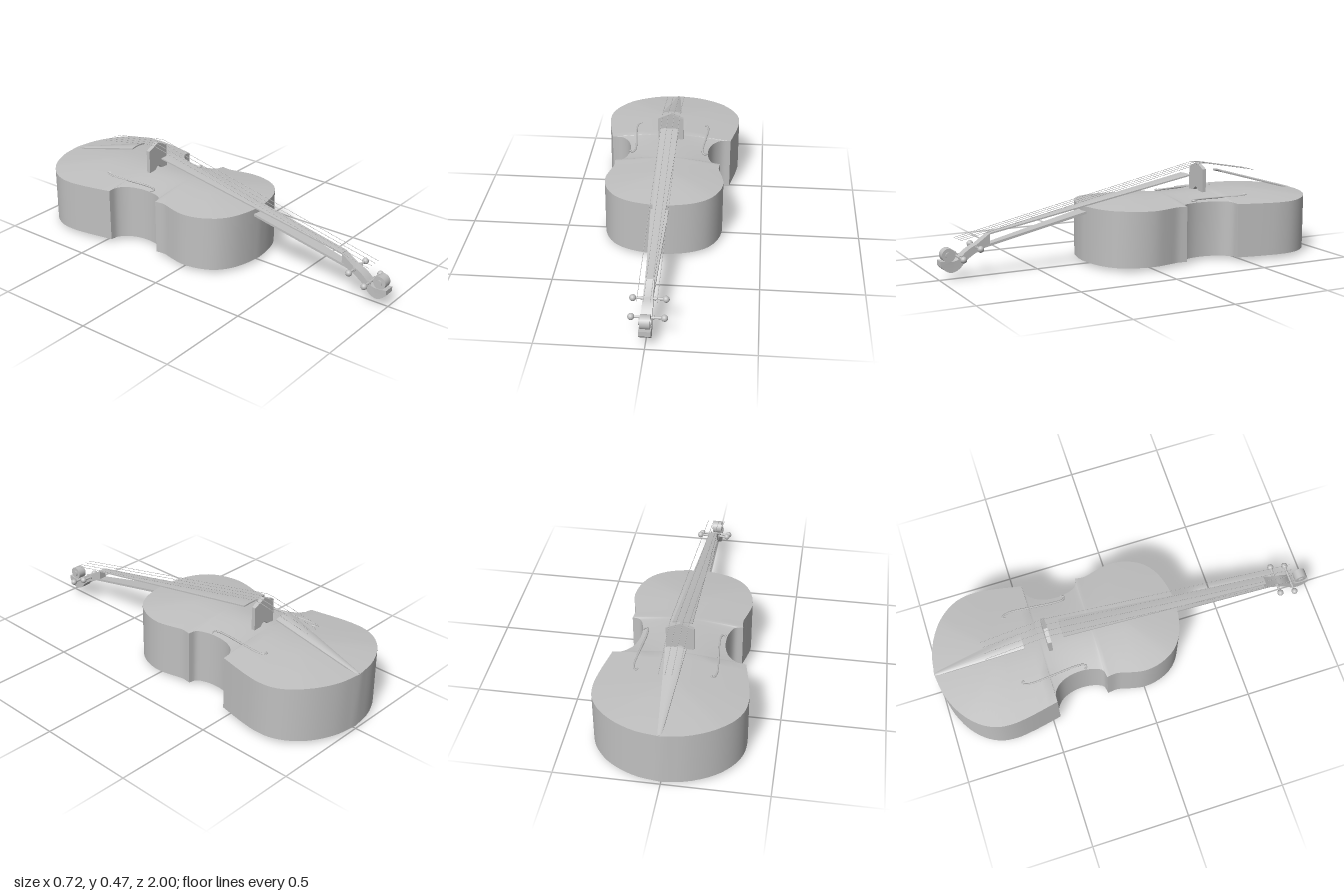
import * as THREE from 'three';
import { toCreasedNormals } from 'three/addons/utils/BufferGeometryUtils.js';

const grey = new THREE.MeshStandardMaterial({ color: 0xc0c0c0 });
grey.name = 'grey';
const { lerp, clamp } = THREE.MathUtils;

function part(parent, name, geometry, x = 0, y = 0, z = 0) {
  const mesh = new THREE.Mesh(geometry, grey);
  mesh.name = name;
  mesh.position.set(x, y, z);
  parent.add(mesh);
  return mesh;
}

// Outline of the body as [x, z]: three bouts meeting at sharp corners, then mirrored
function bodyOutline() {
  const bouts = [
    [[0, -1], [0.12, -0.98], [0.235, -0.925], [0.31, -0.855], [0.35, -0.78], [0.36, -0.7], [0.35, -0.61], [0.32, -0.46]],
    [[0.32, -0.46], [0.275, -0.455], [0.235, -0.42], [0.213, -0.37], [0.205, -0.31], [0.212, -0.25], [0.235, -0.2], [0.275, -0.19]],
    [[0.275, -0.19], [0.27, -0.14], [0.285, -0.08], [0.3, 0], [0.285, 0.09], [0.24, 0.17], [0.17, 0.22], [0.08, 0.247], [0, 0.256]],
  ];
  const half = [];
  for (const bout of bouts) {
    const curve = new THREE.CatmullRomCurve3(bout.map(([x, z]) => new THREE.Vector3(x, 0, z)));
    half.push(...curve.getPoints(24).slice(0, -1));
  }
  half.push(new THREE.Vector3(0, 0, 0.256));
  const mirrored = half.slice(1, -1).reverse().map((p) => new THREE.Vector3(-p.x, 0, p.z));
  return [...half, ...mirrored];
}

// Surface through rings; each ring is [spread from the spine, height function]
function ringSurface(outline, rings) {
  const n = outline.length;
  const positions = [];
  const index = [];
  rings.forEach(([spread, height], j) => {
    outline.forEach((p, i) => {
      const spine = clamp(p.z, -0.65, -0.05);
      positions.push(p.x * spread, height(p), lerp(spine, p.z, spread));
      if (j === rings.length - 1) return;
      const a = j * n + i, b = j * n + (i + 1) % n;
      index.push(a, b, b + n, a, b + n, a + n);
    });
  });
  const geometry = new THREE.BufferGeometry();
  geometry.setAttribute('position', new THREE.Float32BufferAttribute(positions, 3));
  geometry.setIndex(index);
  return toCreasedNormals(geometry, 0.6);
}

// Tapered, slightly crowned strip; each end is [z, y of its upper face, half width]
function strip([z0, y0, w0], [z1, y1, w1], thickness, crown = 0) {
  const geometry = new THREE.BoxGeometry(2, thickness, 1, 6, 1, 1);
  const pos = geometry.attributes.position;
  for (let i = 0; i < pos.count; i++) {
    const t = pos.getZ(i) + 0.5;
    const x = pos.getX(i);
    const y = pos.getY(i) - thickness / 2 - crown * x * x;
    pos.setXYZ(i, x * lerp(w0, w1, t), y + lerp(y0, y1, t), lerp(z0, z1, t));
  }
  geometry.computeVertexNormals();
  return geometry;
}

function rodAlongX(radius, length, sides = 16) {
  return new THREE.CylinderGeometry(radius, radius, length, sides).rotateZ(Math.PI / 2);
}

export function createModel() {
  const model = new THREE.Group();
  model.name = 'cello';

  // Body: arched front, ribs and arched back
  const outline = bodyOutline();
  const edgeDrop = (p) => 0.07 * Math.max(0, Math.abs(p.x) - 0.26);
  const topRim = (p) => 0.297 - edgeDrop(p);
  const bottomRim = (p) => 0.016 + edgeDrop(p) * 0.6;
  const arch = (rim, peak, f) => (p) => lerp(peak, rim(p), Math.pow(f, 1.4));
  const steps = [0, 0.25, 0.5, 0.75, 1];
  part(model, 'frontPlate', ringSurface(outline, steps.map((f) => [f, arch(topRim, 0.325, f)])));
  part(model, 'ribs', ringSurface(outline, [[1, topRim], [1, bottomRim]]));
  part(model, 'backPlate', ringSurface(outline, [...steps].reverse().map((f) => [f, arch(bottomRim, 0, f)])));

  // Curved sound holes lying on the front plate
  for (const side of [-1, 1]) {
    const path = [[0.172, 0.312, -0.585], [0.18, 0.312, -0.6], [0.194, 0.31, -0.57], [0.188, 0.31, -0.45],
      [0.178, 0.309, -0.34], [0.18, 0.307, -0.285], [0.192, 0.305, -0.27], [0.205, 0.304, -0.285]];
    const curve = new THREE.CatmullRomCurve3(path.map(([x, y, z]) => new THREE.Vector3(side * x, y, z)));
    part(model, side > 0 ? 'leftSoundHole' : 'rightSoundHole', new THREE.TubeGeometry(curve, 48, 0.005, 6));
  }

  // Neck, fingerboard and tailpiece
  part(model, 'neck', strip([0.235, 0.276, 0.045], [0.79, 0.148, 0.021], 0.012));
  part(model, 'fingerboard', strip([-0.34, 0.417, 0.048], [0.75, 0.21, 0.021], 0.007, 0.002));
  part(model, 'tailpiece', strip([-0.995, 0.3, 0.009], [-0.54, 0.425, 0.049], 0.007, 0.006));

  // Bridge with a peaked top and a small arch between its feet
  const bridge = new THREE.Shape();
  bridge.moveTo(-0.067, 0.312);
  bridge.lineTo(-0.03, 0.312);
  bridge.quadraticCurveTo(0, 0.37, 0.03, 0.312);
  bridge.lineTo(0.067, 0.312);
  bridge.lineTo(0.067, 0.44);
  bridge.lineTo(0, 0.47);
  bridge.lineTo(-0.067, 0.44);
  part(model, 'bridge', new THREE.ExtrudeGeometry(bridge, { depth: 0.02, bevelEnabled: false }), 0, 0, -0.425);

  // Strings from the pegs over the bridge to the tailpiece
  for (const x of [-0.043, -0.013, 0.018, 0.048]) {
    const path = new THREE.CurvePath();
    const points = [[0.91, 0.19], [-0.415, 0.472], [-0.735, 0.415]].map(([z, y]) => new THREE.Vector3(x, y, z));
    path.add(new THREE.LineCurve3(points[0], points[1]));
    path.add(new THREE.LineCurve3(points[1], points[2]));
    part(model, 'string', new THREE.TubeGeometry(path, 40, 0.0012, 5));
  }

  // Pegbox: side profile in (z, y), widening towards the scroll
  const head = new THREE.Group();
  head.name = 'head';
  model.add(head);
  const profile = new THREE.Shape();
  profile.moveTo(0.75, 0.207);
  profile.lineTo(0.75, 0.152);
  profile.lineTo(0.79, 0.135);
  profile.quadraticCurveTo(0.85, 0.11, 0.885, 0.075);
  profile.quadraticCurveTo(0.91, 0.04, 0.945, 0.036);
  profile.quadraticCurveTo(0.97, 0.035, 1, 0.07);
  profile.lineTo(1, 0.095);
  profile.lineTo(0.955, 0.09);
  profile.quadraticCurveTo(0.915, 0.085, 0.89, 0.115);
  profile.quadraticCurveTo(0.86, 0.145, 0.82, 0.158);
  const depth = 0.056;
  const pegbox = new THREE.ExtrudeGeometry(profile, { depth, bevelEnabled: false, curveSegments: 8 });
  pegbox.rotateY(-Math.PI / 2).translate(depth / 2, 0, 0);
  const pos = pegbox.attributes.position;
  for (let i = 0; i < pos.count; i++) {
    pos.setX(i, pos.getX(i) * lerp(0.75, 1, clamp((pos.getZ(i) - 0.75) / 0.2, 0, 1)));
  }
  part(head, 'pegbox', toCreasedNormals(pegbox, 0.5));

  // Scroll with a raised eye at each end
  part(head, 'scroll', rodAlongX(0.033, 0.046, 24), 0, 0.12, 0.958);
  part(head, 'scrollEye', rodAlongX(0.016, 0.058, 16), 0, 0.12, 0.958);

  // Tuning pegs: shafts with collars and round knobs
  for (const [y, z] of [[0.147, 0.82], [0.105, 0.905]]) {
    part(head, 'pegShaft', rodAlongX(0.006, 0.15), 0.005, y, z);
    for (const [knob, collar] of [[-0.07, -0.026], [0.081, 0.032]]) {
      part(head, 'pegKnob', new THREE.SphereGeometry(0.016, 16, 12), knob, y, z);
      part(head, 'pegCollar', rodAlongX(0.01, 0.006), collar, y, z);
    }
  }

  return model;
}
